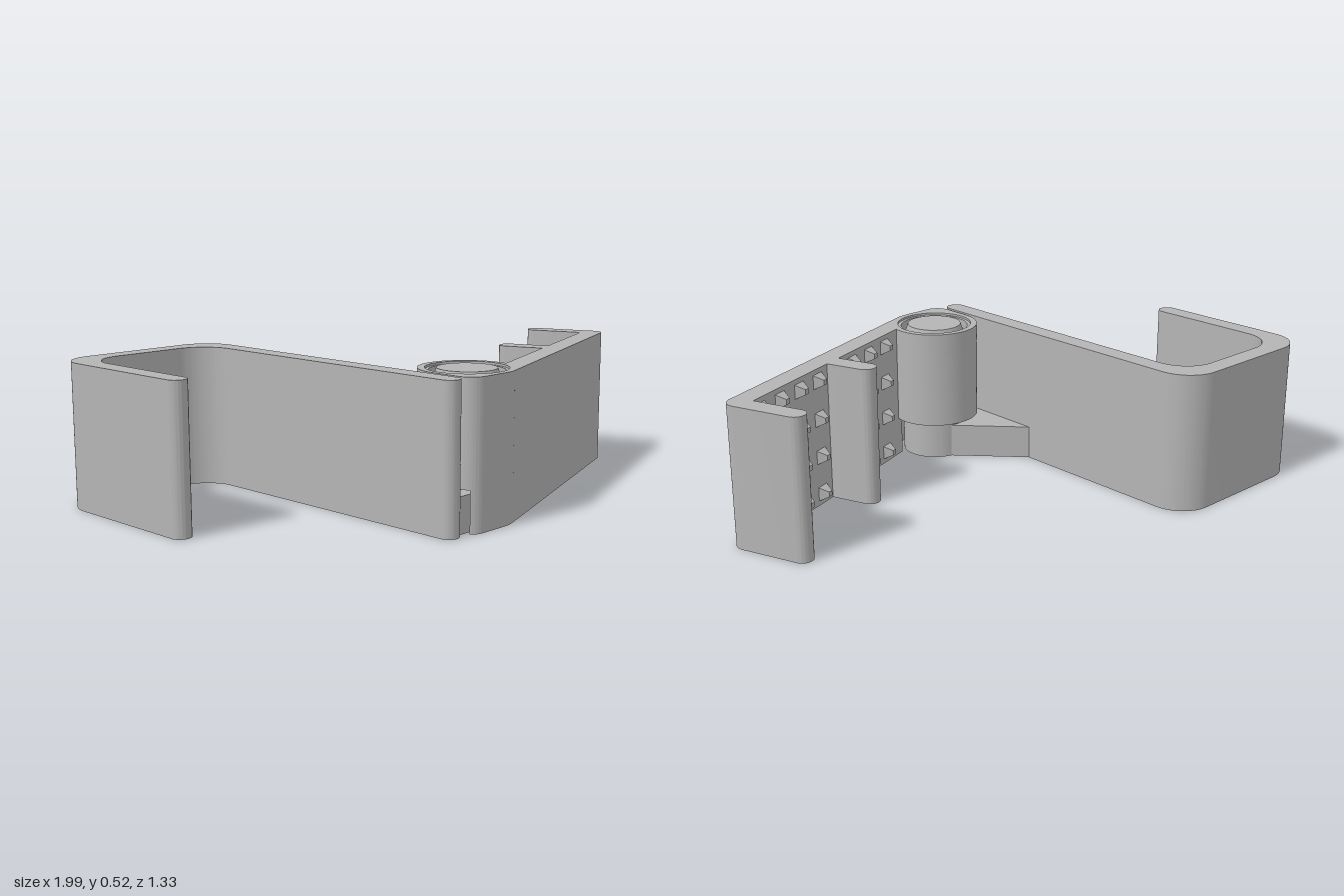
import * as THREE from 'three';
import { toCreasedNormals } from 'three/addons/utils/BufferGeometryUtils.js';

const H = 0.525;          // overall height
const PI = Math.PI;
const PIVOT = [-0.135, 0.49];   // hinge axis (x, z)
const ARM_ANGLE = PI / 9;

export function createModel() {
  const model = new THREE.Group();
  model.name = 'hingedClip';
  const grey = new THREE.MeshStandardMaterial({ color: 0xb4b4b4 });
  grey.name = 'plain grey';

  function add(parent, name, geometry) {
    const mesh = new THREE.Mesh(geometry, grey);
    mesh.name = name;
    parent.add(mesh);
    return mesh;
  }

  // Plan outline (x, -z) raised from y0 to y1
  function slab(parent, name, shape, y0, y1) {
    const g = new THREE.ExtrudeGeometry(shape, { depth: y1 - y0, bevelEnabled: false, curveSegments: 20 });
    g.rotateX(-PI / 2);
    g.translate(0, y0, 0);
    return add(parent, name, toCreasedNormals(g, 0.5));
  }

  // Hook: a rounded U with one long leg
  const hook = new THREE.Shape();
  hook.moveTo(-1, 0.05);
  hook.absarc(-0.9625, 0.05 - 0.0225, 0.0375, PI, 2 * PI, false);
  hook.lineTo(-0.925, 0.46);
  hook.absarc(-0.795, 0.46, 0.13, PI, PI / 2, true);
  hook.lineTo(-0.525, 0.59);
  hook.absarc(-0.525, 0.46, 0.13, PI / 2, 0, true);
  hook.lineTo(-0.395, -0.607);
  hook.absarc(-0.3575, -0.607, 0.0375, PI, 2 * PI, false);
  hook.lineTo(-0.32, 0.535);
  hook.absarc(-0.45, 0.535, 0.13, 0, PI / 2, false);
  hook.lineTo(-0.87, 0.665);
  hook.absarc(-0.87, 0.535, 0.13, PI / 2, PI, false);
  slab(model, 'hook', hook, 0, H);

  // Hinge parts share the pivot as origin
  const hinge = new THREE.Group();
  hinge.name = 'hinge';
  hinge.position.set(PIVOT[0], 0, PIVOT[1]);
  model.add(hinge);

  // Gusset carrying the pin
  const gusset = new THREE.Shape();
  gusset.moveTo(-0.19, 0.357);
  gusset.lineTo(-0.19, -0.13);
  gusset.lineTo(0, -0.13);
  gusset.absarc(0, 0, 0.13, -PI / 2, 1.36, false);
  gusset.lineTo(-0.185, 0.357);
  slab(hinge, 'gusset', gusset, 0, 0.13);

  // Pin with tapered top
  const pin = new THREE.LatheGeometry(
    [[0.13, 0.12], [0.13, 0.45], [0.105, H], [0, H]].map(p => new THREE.Vector2(...p)), 48);
  add(hinge, 'hingePin', toCreasedNormals(pin, 0.25));

  // Barrel around the pin, with a squared front corner
  const barrel = new THREE.Shape();
  barrel.absarc(0, 0, 0.17, -PI / 2, PI, false);
  barrel.lineTo(-0.17, -0.11);
  barrel.absarc(-0.11, -0.11, 0.06, PI, 1.5 * PI, false);
  const bore = new THREE.Path();
  bore.absarc(0, 0, 0.145, 0, 2 * PI, true);
  barrel.holes.push(bore);
  slab(hinge, 'barrel', barrel, 0.15, H);

  // Liner ring inside the barrel
  const ring = new THREE.Shape();
  ring.absarc(0, 0, 0.146, 0, 2 * PI, false);
  const ringHole = new THREE.Path();
  ringHole.absarc(0, 0, 0.132, 0, 2 * PI, true);
  ring.holes.push(ringHole);
  slab(hinge, 'barrelLiner', ring, 0.155, H - 0.008);

  // Thin wall below the barrel, in front of the gusset
  const skirt = new THREE.Shape();
  skirt.moveTo(-0.155, -0.15);
  skirt.absarc(-0.11, -0.11, 0.06, PI + 0.73, 1.5 * PI, false);
  skirt.lineTo(0, -0.17);
  skirt.absarc(0, 0, 0.17, -PI / 2, -PI / 2 + ARM_ANGLE, false);
  skirt.absarc(0, 0, 0.15, -PI / 2 + ARM_ANGLE, -PI / 2, true);
  slab(hinge, 'barrelSkirt', skirt, 0, 0.15);

  // Swinging arm: plate with end lip, all in its own turned frame
  const arm = new THREE.Group();
  arm.name = 'arm';
  arm.rotation.y = ARM_ANGLE;
  hinge.add(arm);

  const plate = new THREE.Shape();
  plate.moveTo(0, -0.17);
  plate.lineTo(1.105, -0.17);
  plate.absarc(1.105, -0.12, 0.05, -PI / 2, 0, false);
  plate.lineTo(1.155, 0.105);
  plate.absarc(1.117, 0.105, 0.038, 0, PI, false);
  plate.lineTo(1.079, -0.09);
  plate.lineTo(0.12, -0.09);
  plate.absarc(0, 0, 0.15, -0.6435, -PI / 2, true);
  slab(arm, 'armPlate', plate, 0, H);

  const rib = new THREE.Shape();
  rib.moveTo(0.56, -0.1);
  rib.lineTo(0.636, -0.1);
  rib.lineTo(0.636, 0.052);
  rib.absarc(0.598, 0.052, 0.038, 0, PI, false);
  slab(arm, 'middleRib', rib, 0, H);

  // Grip studs: small blunt pyramids on the inner face
  const stud = new THREE.CylinderGeometry(0.014, 0.038, 0.035, 4).toNonIndexed();
  stud.rotateY(PI / 4);
  stud.rotateX(-PI / 2);
  stud.computeVertexNormals();
  for (const u of [0.24, 0.355, 0.47, 0.7, 0.815, 0.93, 1.043]) {
    for (let row = 0; row < 4; row++) {
      add(arm, 'gripStud', stud).position.set(u, 0.045 + row * 0.145, 0.0735);
    }
  }
  return model;
}
